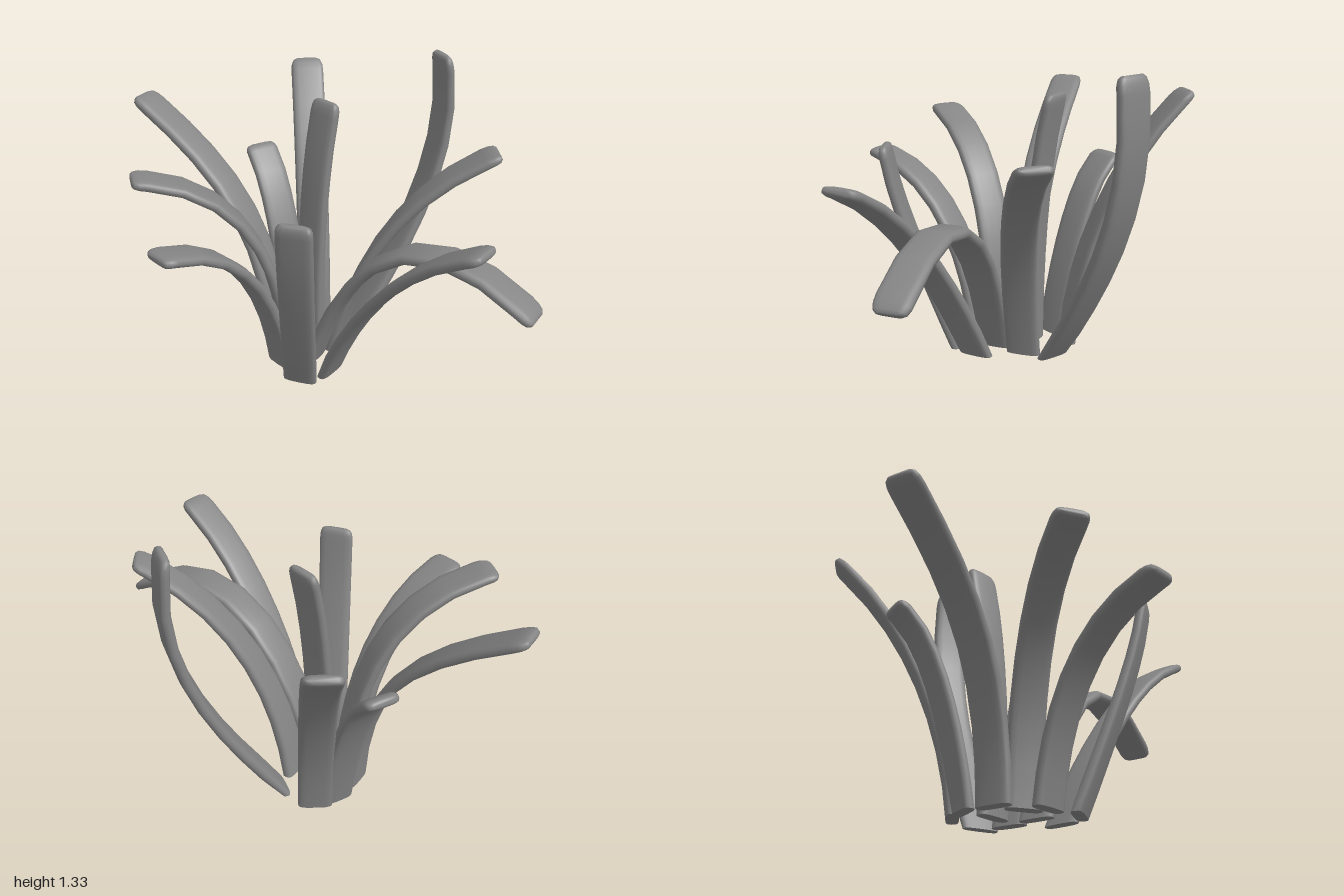
import * as THREE from 'three';

const HALF_WIDTH = 0.077, HALF_THICK = 0.025, SIDES = 16, SEGMENTS = 8;

// root: x, z on the ground; tip: x, y, z; bend: two controls, each (fraction of reach, height)
// bow: sideways curve of the path; turn: extra yaw in degrees of the flat side at root and tip
const LEAVES = [
  { name: 'leafLeftArching', root: [-0.04, 0.045], tip: [0.988, 0.585, 0.105], bend: [0.22, 0.75, 0.58, 0.9] },
  { name: 'leafLeftFront', root: [0.075, 0.1], tip: [0.85, 0.965, 0.355], bend: [0.19, 0.36, 0.55, 0.81], bow: 0.04, turn: [-10, -8] },
  { name: 'leafLeftBack', root: [0, -0.1], tip: [0.64, 1.045, -0.32], bend: [0.12, 0.5, 0.45, 0.87], bow: 0.045, turn: [19, -14] },
  { name: 'leafBackTall', root: [-0.01, -0.23], tip: [0.255, 1.33, -0.58], bend: [0.62, 0.4, 1.25, 0.85] },
  { name: 'leafCentre', root: [-0.14, -0.1], tip: [-0.108, 1.17, -0.205], bend: [0, 0.4, 0.2, 0.85] },
  { name: 'leafBackRight', root: [-0.2, -0.25], tip: [-0.5, 1.14, -0.71], bend: [0.08, 0.47, 0.48, 0.9] },
  { name: 'leafRightShort', root: [-0.26, -0.17], tip: [-0.56, 0.81, -0.35], bend: [0.18, 0.4, 0.55, 0.76] },
  { name: 'leafRight', root: [-0.275, -0.02], tip: [-0.99, 1.085, -0.045], bend: [0.03, 0.62, 0.42, 0.85] },
  { name: 'leafRightFront', root: [-0.18, 0.06], tip: [-0.63, 0.97, 0.5], bend: [0.03, 0.6, 0.38, 0.92] },
  { name: 'leafFrontArching', root: [-0.15, 0.15], tip: [-0.34, 0.8, 0.735], bend: [0.1, 0.48, 0.45, 0.76] },
  { name: 'leafFront', root: [-0.01, 0.22], tip: [0.13, 0.955, 0.485], bend: [0.38, 0.32, 0.9, 0.68], turn: [17, 15] },
];

// Sweep a soft-edged flat strap along a bent centre line, with a rounded tip
function leafGeometry({ root, tip, bend, bow = 0, turn = [0, 0] }) {
  const start = new THREE.Vector3(root[0], 0, root[1]);
  const end = new THREE.Vector3(...tip);
  const yaw = Math.atan2(end.z - start.z, end.x - start.x);
  const control = (reach, height) => {
    const p = start.clone().lerp(end, reach);
    return p.set(p.x - Math.sin(yaw) * bow, height, p.z + Math.cos(yaw) * bow);
  };
  const curve = new THREE.CubicBezierCurve3(start, control(bend[0], bend[1]), control(bend[2], bend[3]), end);

  // [position along leaf, width scale, thickness scale]
  const rings = [];
  for (let i = 0; i <= SEGMENTS; i++) rings.push([0.95 * i / SEGMENTS, 1, 1.1 - 0.15 * i / SEGMENTS]);
  rings.push([0.975, 0.97, 0.9], [0.992, 0.87, 0.75], [1, 0.68, 0.45]);

  const positions = [], index = [];
  const soften = v => Math.sign(v) * Math.pow(Math.abs(v), 0.6);
  const addRing = ([t, w, h]) => {
    const centre = curve.getPointAt(t), tangent = curve.getTangentAt(t);
    const a = yaw + THREE.MathUtils.degToRad(THREE.MathUtils.lerp(turn[0], turn[1], t));
    const side = new THREE.Vector3(-Math.sin(a), 0, Math.cos(a));
    const up = side.clone().cross(tangent).normalize();
    for (let j = 0; j < SIDES; j++) {
      const q = j / SIDES * Math.PI * 2;
      const p = centre.clone()
        .addScaledVector(side, soften(Math.cos(q)) * HALF_WIDTH * w)
        .addScaledVector(up, soften(Math.sin(q)) * HALF_THICK * h);
      positions.push(p.x, t === 0 ? 0 : p.y, p.z);
    }
  };
  rings.forEach(addRing);
  for (let i = 0; i < rings.length - 1; i++) {
    for (let j = 0; j < SIDES; j++) {
      const k = (j + 1) % SIDES;
      const a = i * SIDES + j, b = i * SIDES + k, c = a + SIDES, d = b + SIDES;
      index.push(a, c, b, b, c, d);
    }
  }
  // Root cap has its own vertices for a crisp edge; tip cap shares them to stay soft
  const rootCap = positions.length / 3, tipCap = rootCap - SIDES;
  addRing(rings[0]);
  for (let j = 1; j < SIDES - 1; j++) {
    index.push(rootCap, rootCap + j, rootCap + j + 1);
    index.push(tipCap, tipCap + j + 1, tipCap + j);
  }

  const geometry = new THREE.BufferGeometry();
  geometry.setAttribute('position', new THREE.Float32BufferAttribute(positions, 3));
  geometry.setIndex(index);
  geometry.computeVertexNormals();
  return geometry;
}

export function createModel() {
  const plant = new THREE.Group();
  plant.name = 'leafClump';
  const material = new THREE.MeshStandardMaterial({ color: 0x858585 });
  for (const spec of LEAVES) {
    const leaf = new THREE.Mesh(leafGeometry(spec), material);
    leaf.name = spec.name;
    plant.add(leaf);
  }
  return plant;
}
